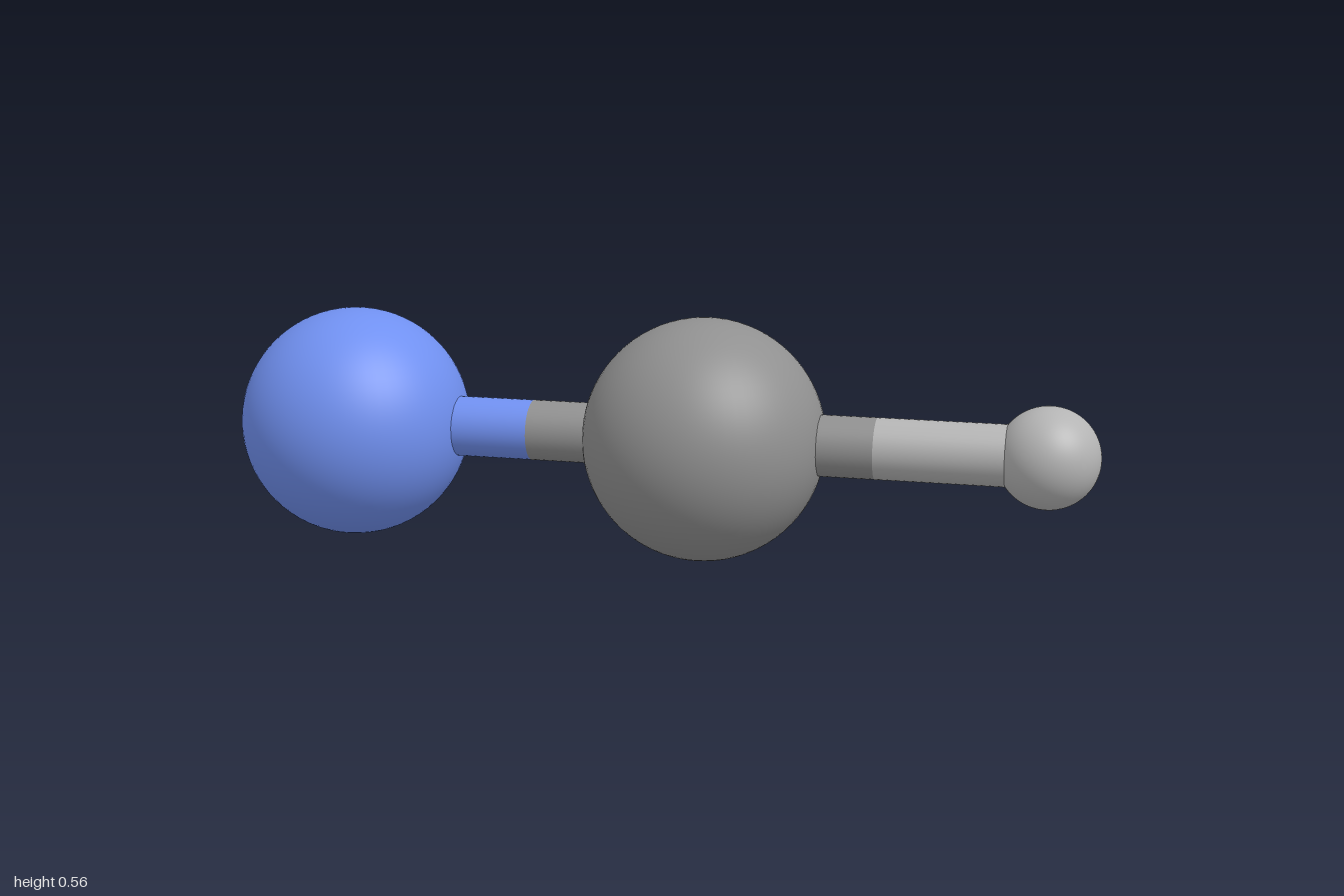
import * as THREE from 'three';

export function createModel() {
  const model = new THREE.Group();
  const Y = 0.28, Z = -0.012, BOND_RADIUS = 0.07;

  const paint = (color) => new THREE.MeshStandardMaterial({ color });
  const blue = paint(0x7090f0);
  const darkGrey = paint(0x909090);
  const lightGrey = paint(0xb4b4b4);

  const add = (name, geometry, material, x) => {
    const mesh = new THREE.Mesh(geometry, material);
    mesh.name = name;
    mesh.position.set(x, Y, Z);
    model.add(mesh);
  };

  // Atoms: smooth balls in a row along x
  const atom = (name, x, radius, material) =>
    add(name, new THREE.SphereGeometry(radius, 64, 40), material, x);
  atom('nitrogenAtom', -0.732, 0.268, blue);
  atom('carbonAtom', 0.11, 0.278, darkGrey);
  atom('hydrogenAtom', 0.885, 0.115, lightGrey);

  // Bonds: each rod is two halves, coloured like the atom it joins
  const halfBond = (name, x0, x1, material) => {
    const rod = new THREE.CylinderGeometry(BOND_RADIUS, BOND_RADIUS, x1 - x0, 40, 1, true);
    rod.rotateZ(Math.PI / 2);
    add(name, rod, material, (x0 + x1) / 2);
  };
  halfBond('nitrogenHalfBond', -0.732, -0.295, blue);
  halfBond('carbonHalfBondRight', -0.295, 0.11, darkGrey);
  halfBond('carbonHalfBondLeft', 0.11, 0.505, darkGrey);
  halfBond('hydrogenHalfBond', 0.505, 0.885, lightGrey);

  return model;
}
